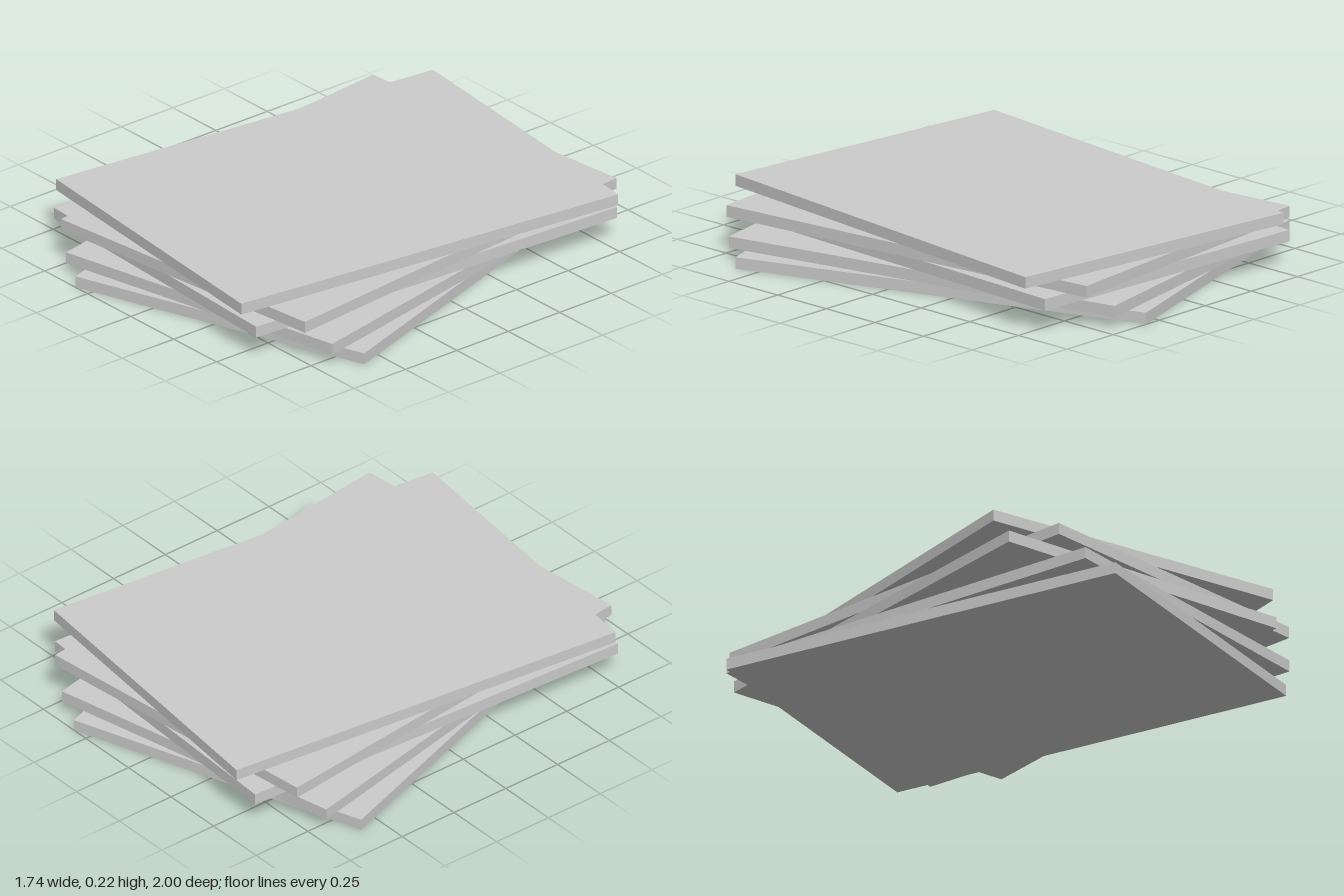
import * as THREE from 'three';

const WIDTH = 1.258, DEPTH = 1.682, THICK = 0.045;

// Slabs from bottom to top: turn about y in degrees, and x offset
const SLABS = [
  { turn: 19.0, x: 0 },
  { turn: 12.2, x: 0.008 },
  { turn: -3.0, x: -0.006 },
  { turn: 6.4, x: 0.014 },
  { turn: -6.6, x: 0.005 },
];

export function createModel() {
  const model = new THREE.Group();
  model.name = 'slabStack';
  const material = new THREE.MeshStandardMaterial({ color: 0xcccccc });
  const geometry = new THREE.BoxGeometry(WIDTH, THICK, DEPTH);

  // Identical thin slabs, loosely twisted on top of each other
  SLABS.forEach(({ turn, x }, i) => {
    const slab = new THREE.Mesh(geometry, material);
    slab.name = `slab${i + 1}`;
    slab.position.set(x, THICK * (i + 0.5), 0);
    slab.rotation.y = THREE.MathUtils.degToRad(turn);
    model.add(slab);
  });
  return model;
}
